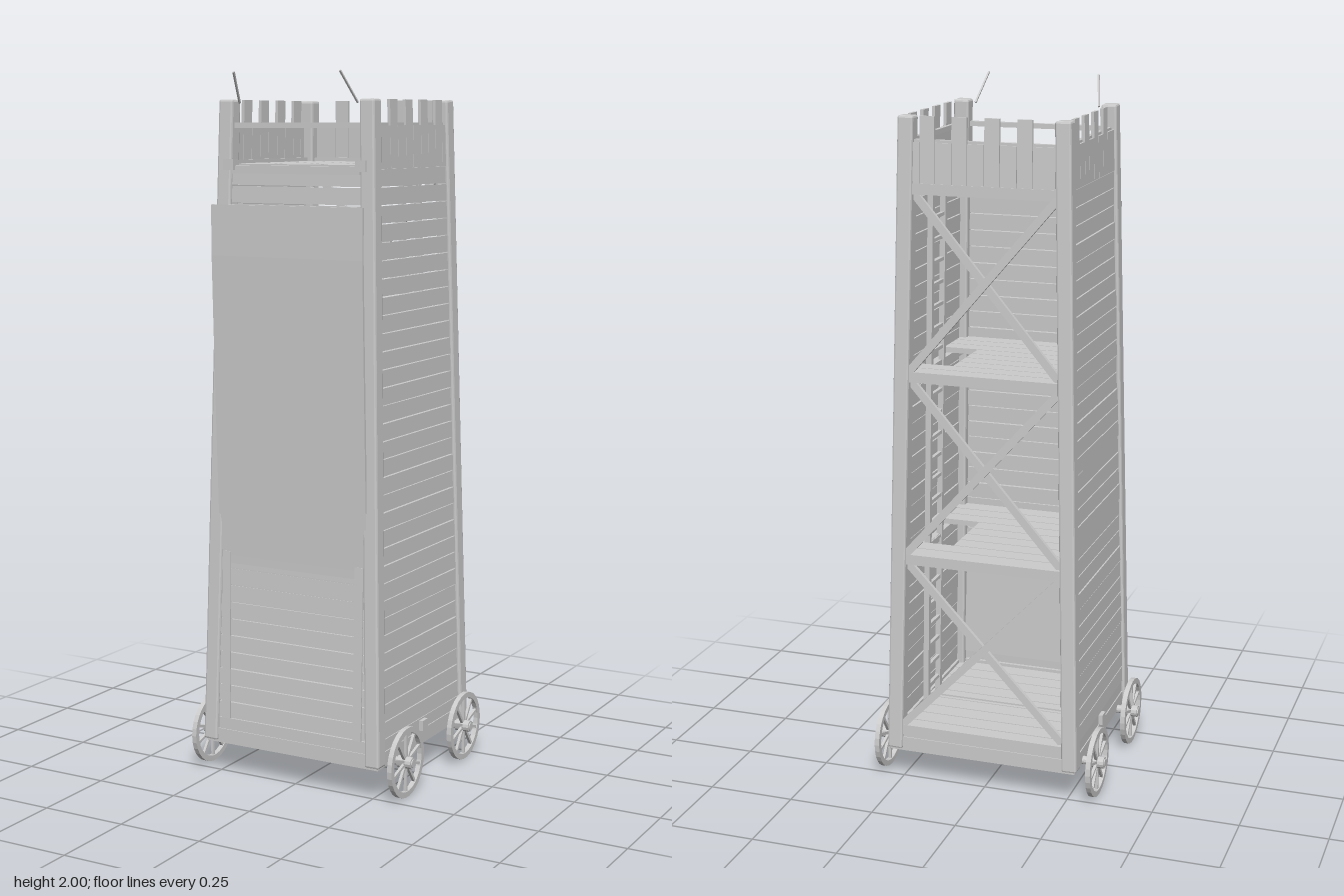
import * as THREE from 'three';
import { RoundedBoxGeometry } from 'three/addons/geometries/RoundedBoxGeometry.js';

const mat = new THREE.MeshStandardMaterial({ color: 0xcccccc, flatShading: true });
const V = (x, y, z) => new THREE.Vector3(x, y, z);

// Tower tapers: distance from the axis to the outer face at height y
const SLOPE = 0.0247;
const outer = (y) => 0.287 - SLOPE * (y - 0.1);

let seed = 7;
const rand = () => (seed = (seed * 16807) % 2147483647) / 2147483647 - 0.5;

function add(parent, name, geometry) {
  const mesh = new THREE.Mesh(geometry, mat);
  mesh.name = name;
  parent.add(mesh);
  return mesh;
}

function box(parent, name, w, h, d, x, y, z) {
  const mesh = add(parent, name, new THREE.BoxGeometry(w, h, d));
  mesh.position.set(x, y, z);
  return mesh;
}

// Timber between two points of the parent's space; its depth d lies along the up direction
function beam(parent, name, a, b, w, d, { up = V(0, 0, 1), round = 0 } = {}) {
  const len = a.distanceTo(b);
  const geo = round ? new RoundedBoxGeometry(w, d, len, 1, round) : new THREE.BoxGeometry(w, d, len);
  const mesh = add(parent, name, geo);
  mesh.position.copy(a).add(b).multiplyScalar(0.5);
  mesh.quaternion.setFromRotationMatrix(new THREE.Matrix4().lookAt(b, a, up));
  return mesh;
}

function group(parent, name) {
  const g = new THREE.Group();
  g.name = name;
  parent.add(g);
  return g;
}

// Horizontal cladding, built facing +z
function cladding(parent) {
  const rows = 32, y0 = 0.17, pitch = 1.57 / rows;
  for (let i = 0; i < rows; i++) {
    const y = y0 + (i + 0.5) * pitch;
    const plank = box(parent, 'wallPlank', 2 * outer(y) - 0.06, pitch - 0.003, 0.014,
      0, y, outer(y) - 0.016 + rand() * 0.003);
    plank.rotation.set(-SLOPE, 0, rand() * 0.004);
  }
}

// Parapet of upright boards, every second one raised as a merlon
function parapet(parent, flip) {
  for (let i = -1; i < 9; i++) {
    const raised = i > 0 && i % 2 === 1;
    const top = raised ? 1.925 : 1.855;
    const y = (1.74 + top) / 2;
    const board = box(parent, raised ? 'merlon' : 'parapetBoard', raised ? 0.042 : 0.046, top - 1.74, 0.009,
      flip * (-0.16 + 0.0457 * i), y, outer(y) - 0.012);
    board.rotation.x = -SLOPE;
  }
  box(parent, 'parapetRail', 0.40, 0.014, 0.014, 0, 1.855, outer(1.855) - 0.021);
  box(parent, 'parapetSill', 0.42, 0.02, 0.012, 0, 1.75, outer(1.75) - 0.023);
}

// Open face with three cross-braced bays
function bracing(parent) {
  const levels = [0.16, 0.68, 1.21, 1.73];
  levels.forEach((y, i) => {
    const z = outer(y) - 0.018;
    box(parent, 'crossBeam', 2 * outer(y) - 0.06, 0.03, 0.024, 0, y, z);
    if (i === 3) return;
    const y2 = levels[i + 1];
    for (const s of [-1, 1]) {
      beam(parent, 'diagonalBrace',
        V(s * (outer(y) - 0.04), y + 0.01, z - 0.006 * s),
        V(-s * (outer(y2) - 0.04), y2 - 0.01, outer(y2) - 0.018 - 0.006 * s), 0.022, 0.012);
    }
  });
}

// Plank floor, with an optional ladder hatch
function floor(parent, y, hatch) {
  const half = outer(y) - 0.025, n = 9, pitch = 2 * half / n;
  for (let i = 0; i < n; i++) {
    const z = -half + (i + 0.5) * pitch;
    const right = hatch && z > -0.14 && z < 0.06 ? 0.13 : half;
    box(parent, 'floorPlank', right + half, 0.016, pitch - 0.004, (right - half) / 2, y - 0.008, z);
  }
  for (const s of [-1, 1]) {
    box(parent, 'floorJoist', 0.02, 0.024, 2 * half, s * (half - 0.015), y - 0.028, 0);
  }
}

// Spoked wheel turning about x
function wheel(parent, side, z) {
  const g = group(parent, 'wheel');
  g.position.set(side * 0.32, 0.1, z);
  const rim = [[0.084, -0.007], [0.1, -0.007], [0.1, 0.007], [0.084, 0.007], [0.084, -0.007]];
  const r = add(g, 'wheelRim', new THREE.LatheGeometry(rim.map(p => new THREE.Vector2(...p)), 30));
  r.rotation.z = Math.PI / 2;
  for (let i = 0; i < 10; i++) {
    const a = i * Math.PI / 5;
    const c = Math.cos(a), s = Math.sin(a);
    beam(g, 'spoke', V(0, c * 0.012, s * 0.012), V(0, c * 0.087, s * 0.087), 0.008, 0.008, { up: V(1, 0, 0) });
  }
  const hub = add(g, 'hub', new THREE.CylinderGeometry(0.017, 0.017, 0.044, 12));
  hub.rotation.z = Math.PI / 2;
  const cap = add(g, 'hubCap', new THREE.CylinderGeometry(0.012, 0.012, 0.05, 12));
  cap.rotation.z = Math.PI / 2;
}

export function createModel() {
  const model = new THREE.Group();
  model.name = 'siegeTower';

  // Corner posts
  for (const sx of [-1, 1]) for (const sz of [-1, 1]) {
    const a = outer(0.1) - 0.023, b = outer(1.925) - 0.022;
    beam(model, 'cornerPost', V(sx * a, 0.1, sz * a), V(sx * b, 1.925, sz * b), 0.045, 0.045, { round: 0.006 });
  }

  // Chassis
  const chassis = group(model, 'chassis');
  for (const s of [-1, 1]) {
    box(chassis, 'endSill', 0.56, 0.042, 0.04, 0, 0.115, s * 0.258);
    box(chassis, 'sideSill', 0.04, 0.042, 0.54, s * 0.258, 0.115, 0);
    box(chassis, 'endBoard', 0.5, 0.035, 0.02, 0, 0.152, s * 0.265);
    box(chassis, 'sideBoard', 0.02, 0.035, 0.5, s * 0.265, 0.152, 0);
    const axle = add(chassis, 'axle', new THREE.CylinderGeometry(0.012, 0.012, 0.66, 12));
    axle.rotation.z = Math.PI / 2;
    axle.position.set(0, 0.1, s * 0.187);
    for (const z of [-0.187, 0.187]) wheel(model, s, z);
  }
  box(chassis, 'middleBeam', 0.574, 0.03, 0.032, 0, 0.15, 0);

  // Floors
  const floors = group(model, 'floors');
  [0.16, 0.69, 1.22, 1.75].forEach((y, i) => floor(floors, y, i === 1 || i === 2));

  // Walls: front and sides clad, back braced and open
  const front = group(model, 'frontWall');
  cladding(front);
  for (const s of [-1, 1]) {
    const side = group(model, s > 0 ? 'leftWall' : 'rightWall');
    side.rotation.y = s * Math.PI / 2;
    cladding(side);
    parapet(side, s);
  }
  const back = group(model, 'backWall');
  back.rotation.y = Math.PI;
  bracing(back);
  parapet(back, -1);

  // Front gate bar, sill and pivot blocks
  box(model, 'gateBar', 0.4, 0.014, 0.016, 0, 1.855, 0.222);
  box(model, 'gateSill', 0.4, 0.022, 0.03, 0, 1.735, 0.228);
  for (const s of [-1, 1]) {
    box(model, 'pivotBlock', 0.032, 0.03, 0.03, s * 0.207, 1.748, 0.238);
    // narrow guides beside the lower cladding
    beam(model, 'rampGuide', V(s * 0.214, 0.17, outer(0.17) - 0.008),
      V(s * 0.214, 0.66, outer(0.66) - 0.008), 0.026, 0.006);
    beam(model, 'rope', V(s * 0.185, 1.915, 0.225), V(s * 0.165, 1.998, 0.287), 0.005, 0.005);
  }

  // Boarding ramp, gently bowed and leaning out of the wall
  const face = [[0.2, 0.258], [0.65, 0.266], [1.0, 0.279], [1.3, 0.289], [1.5, 0.295], [1.64, 0.295]];
  const section = new THREE.Shape([
    ...face.map(([y, z]) => new THREE.Vector2(-z, y)),
    ...face.slice().reverse().map(([y, z]) => new THREE.Vector2(-z + 0.008, y)),
  ]);
  const ramp = add(model, 'boardingRamp',
    new THREE.ExtrudeGeometry(section, { depth: 0.474, bevelEnabled: false }));
  ramp.rotation.y = Math.PI / 2;
  ramp.position.x = -0.237;

  // Ladder against the inside of the left wall
  const ladder = group(model, 'ladder');
  for (const z of [-0.1, 0]) {
    beam(ladder, 'ladderRail', V(0.235, 0.16, z), V(0.2, 1.73, z), 0.016, 0.016);
  }
  for (let i = 0; i < 24; i++) {
    const y = 0.22 + i * 0.064;
    box(ladder, 'rung', 0.01, 0.01, 0.1, 0.235 - 0.0223 * (y - 0.16), y, -0.05);
  }
  return model;
}
